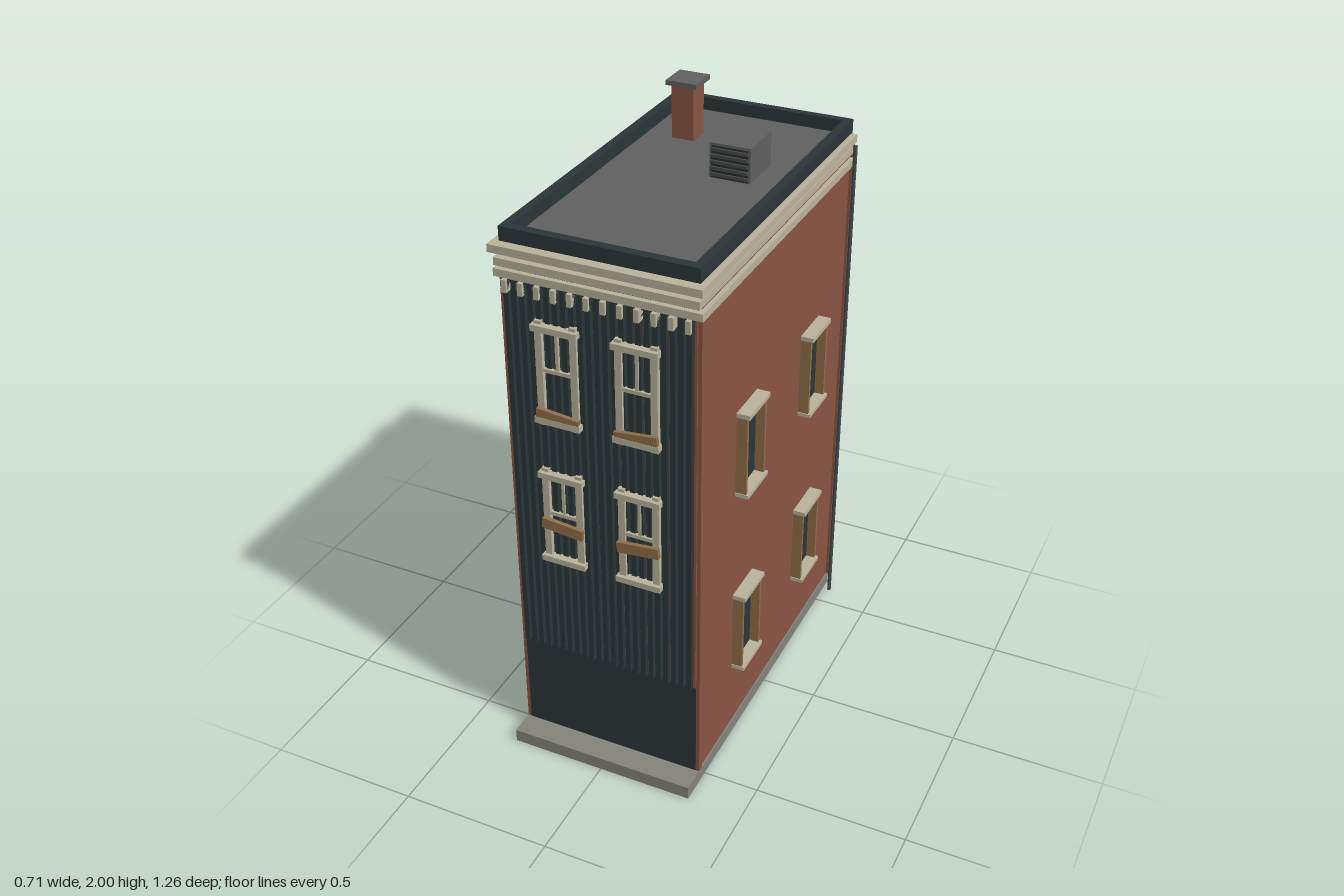
import * as THREE from 'three';

const mat = (name, color) => {
  const m = new THREE.MeshStandardMaterial({ color });
  m.name = name;
  return m;
};

export function createModel() {
  const brick = mat('brick', 0x8a5442);
  const dark = mat('dark slate', 0x2b3638);
  const cream = mat('cream trim', 0xbab39c);
  const wood = mat('aged wood', 0x8f7048);
  const grey = mat('roof grey', 0x606060);
  const stone = mat('stone', 0x84847a);
  const iron = mat('iron', 0x444a4a);
  const black = mat('vent black', 0x2a2a2b);

  const model = new THREE.Group();
  model.name = 'townhouse';

  // Box given by its minimum and maximum on each axis
  function box(name, material, [x0, x1], [y0, y1], [z0, z1], parent = model) {
    const mesh = new THREE.Mesh(new THREE.BoxGeometry(x1 - x0, y1 - y0, z1 - z0), material);
    mesh.position.set((x0 + x1) / 2, (y0 + y1) / 2, (z0 + z1) / 2);
    mesh.name = name;
    parent.add(mesh);
    return mesh;
  }
  function group(name) {
    const g = new THREE.Group();
    g.name = name;
    model.add(g);
    return g;
  }

  // Base slab with front step, and main walls
  box('baseSlab', stone, [-0.315, 0.315], [0, 0.045], [-0.622, 0.628]);
  box('walls', brick, [-0.31, 0.31], [0.045, 1.785], [-0.612, 0.535]);

  // Back wall skin with openings for two recessed windows
  const skin = new THREE.Shape([
    new THREE.Vector2(-0.318, 0.045), new THREE.Vector2(0.318, 0.045),
    new THREE.Vector2(0.318, 1.785), new THREE.Vector2(-0.318, 1.785),
  ]);
  const floors = [[0.28, 0.57], [0.96, 1.25]];
  for (const [y0, y1] of floors) {
    skin.holes.push(new THREE.Path([
      new THREE.Vector2(-0.095, y0), new THREE.Vector2(-0.095, y1),
      new THREE.Vector2(0.095, y1), new THREE.Vector2(0.095, y0),
    ]));
    box('backWindowPane', dark, [-0.095, 0.095], [y0, y1], [-0.618, -0.611]);
  }
  const backWall = new THREE.Mesh(new THREE.ExtrudeGeometry(skin, { depth: 0.017, bevelEnabled: false }), brick);
  backWall.position.z = -0.628;
  backWall.name = 'backWall';
  model.add(backWall);

  // Front facade panel, brick corner strips and vertical battens
  box('facadePanel', dark, [-0.303, 0.303], [0.045, 1.79], [0.53, 0.545]);
  for (const s of [-1, 1]) {
    box('cornerStrip', brick, [s * 0.309 - 0.006, s * 0.309 + 0.006], [0.045, 1.72], [0.52, 0.544]);
  }
  const cladding = group('cladding');
  const count = 23, pitch = 0.026;
  for (let i = 0; i < count; i++) {
    const x = (i - (count - 1) / 2) * pitch;
    box('batten', dark, [x - 0.008, x + 0.008], [0.395, 1.70], [0.543, 0.565], cladding);
    if (i % 3 === 1) {
      box('brickGap', brick, [x + 0.009, x + 0.017], [0.395, 1.70], [0.543, 0.549], cladding);
    }
  }

  // Front windows: jambs, rails, muntin and a crooked board
  for (const s of [-1, 1]) {
    for (const [y0, y1, boardY] of [[0.75, 1.095, 0.895], [1.25, 1.595, 1.285]]) {
      const w = group('frontWindow');
      const cx = s * 0.127;
      for (const j of [-1, 1]) {
        const x = cx + j * 0.056;
        box('jamb', cream, [x - 0.011, x + 0.011], [y0, y1], [0.56, 0.575], w);
      }
      box('lintel', cream, [cx - 0.074, cx + 0.074], [y1 - 0.03, y1 - 0.01], [0.56, 0.587], w);
      box('sill', cream, [cx - 0.074, cx + 0.074], [y0 + 0.01, y0 + 0.03], [0.56, 0.587], w);
      const mid = (y0 + y1) / 2 + 0.012;
      box('rail', cream, [cx - 0.05, cx + 0.05], [mid - 0.006, mid + 0.006], [0.56, 0.572], w);
      box('muntin', cream, [cx - 0.005, cx + 0.005], [mid, y1 - 0.02], [0.56, 0.57], w);
      const board = box('board', wood, [cx - 0.069, cx + 0.069], [boardY - 0.018, boardY + 0.018], [0.572, 0.586], w);
      board.rotation.z = s * 0.1;
    }
  }

  // Side windows: dark pane inside a deep wooden surround
  for (const s of [-1, 1]) {
    const span = (a, b) => (s > 0 ? [a, b] : [-b, -a]);
    for (const cz of [0.206, -0.309]) {
      for (const [y0, y1] of floors) {
        const w = group('sideWindow');
        box('pane', dark, span(0.305, 0.314), [y0, y1], [cz - 0.07, cz + 0.07], w);
        for (const j of [-1, 1]) {
          const z = cz + j * 0.069;
          box('jamb', wood, span(0.305, 0.345), [y0, y1], [z - 0.006, z + 0.006], w);
        }
        box('sill', cream, span(0.305, 0.354), [y0 - 0.003, y0 + 0.01], [cz - 0.078, cz + 0.078], w);
        box('lintel', cream, span(0.305, 0.354), [y1 - 0.01, y1 + 0.005], [cz - 0.078, cz + 0.078], w);
      }
    }
    // Drainpipe near the back corner
    const pipe = new THREE.Mesh(new THREE.CylinderGeometry(0.007, 0.007, 1.78, 8), iron);
    pipe.position.set(s * 0.338, 0.89, -0.578);
    pipe.name = 'drainpipe';
    model.add(pipe);
  }

  // Stepped cornice and dentils
  for (const [hw, y0, y1, zf] of [[0.325, 1.70, 1.724, 0.562], [0.318, 1.738, 1.762, 0.568], [0.33, 1.78, 1.805, 0.578]]) {
    box('corniceBand', cream, [-hw, hw], [y0, y1], [-0.612, zf]);
  }
  for (let i = 0; i < 12; i++) {
    const x = -0.286 + i * 0.052;
    box('dentil', cream, [x - 0.008, x + 0.008], [1.66, 1.70], [0.543, 0.575]);
  }

  // Roof deck and parapet
  box('roofDeck', grey, [-0.29, 0.29], [1.77, 1.808], [-0.6, 0.52]);
  for (const s of [-1, 1]) {
    const x = s * 0.296;
    box('parapetSide', dark, [x - 0.014, x + 0.014], [1.784, 1.85], [-0.622, 0.545]);
  }
  box('parapetFront', dark, [-0.283, 0.283], [1.784, 1.85], [0.515, 0.545]);
  box('parapetBack', dark, [-0.283, 0.283], [1.784, 1.85], [-0.622, -0.594]);

  // Chimney
  box('chimney', brick, [-0.193, -0.117], [1.79, 1.985], [-0.408, -0.332]);
  box('chimneyCap', grey, [-0.207, -0.103], [1.984, 2.0], [-0.422, -0.318]);

  // Rooftop vent unit with louvres
  box('ventUnit', grey, [0.043, 0.177], [1.79, 1.92], [-0.257, -0.098]);
  box('ventOpening', black, [0.05, 0.17], [1.81, 1.912], [-0.099, -0.096]);
  for (let i = 0; i < 5; i++) {
    const y = 1.822 + i * 0.02;
    box('ventLouvre', iron, [0.05, 0.17], [y - 0.005, y + 0.005], [-0.098, -0.089]);
  }

  return model;
}
